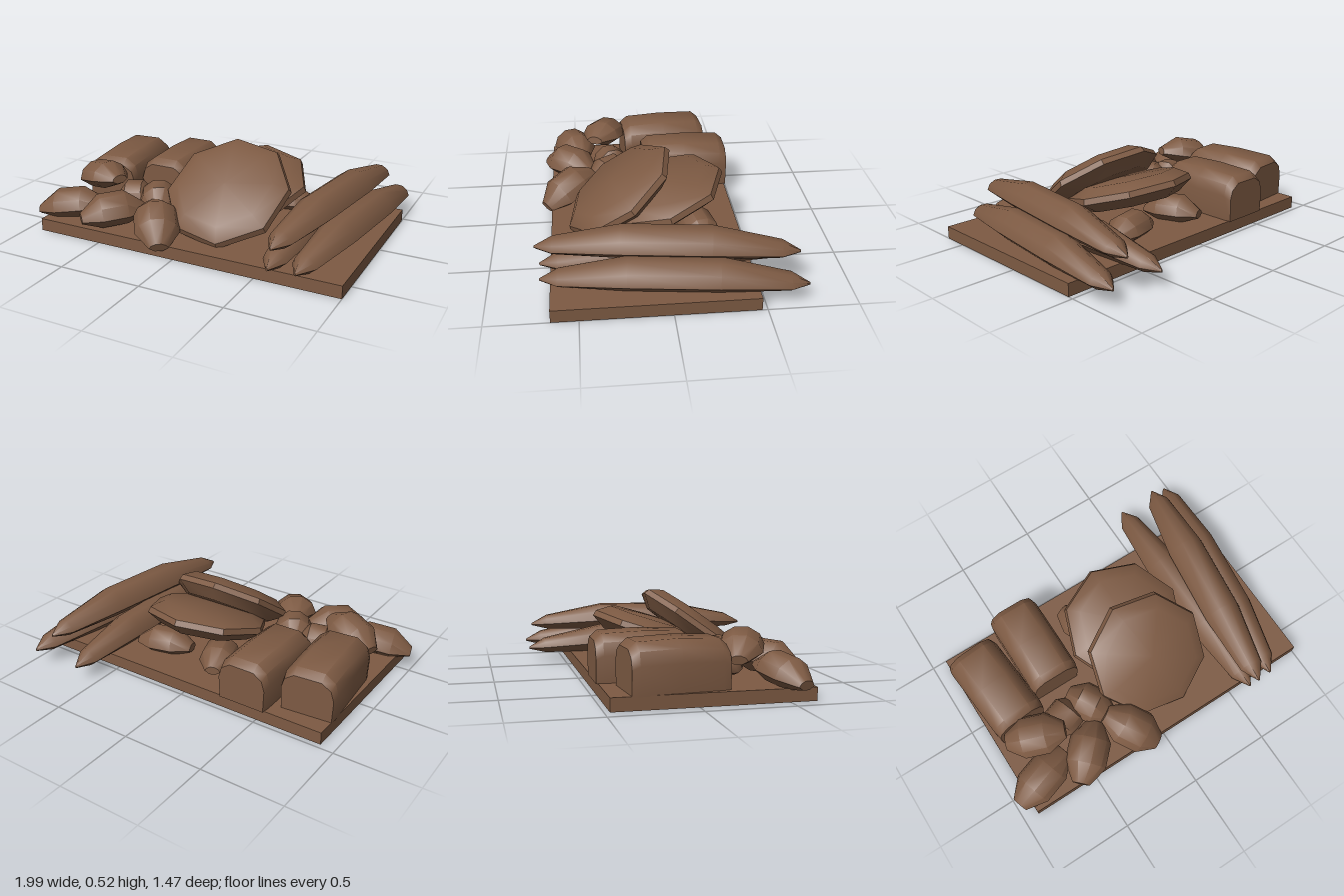
import * as THREE from 'three';
import { toCreasedNormals } from 'three/addons/utils/BufferGeometryUtils.js';

const crust = new THREE.MeshStandardMaterial({ color: 0x7d5a43, side: THREE.DoubleSide });
crust.name = 'brown crust';

// Cross-sections, unit wide and unit high, counter-clockwise seen from +z
const bunSection = [[-0.2, -0.5], [0.2, -0.5], [0.5, -0.12], [0.4, 0.25], [0.15, 0.5], [-0.15, 0.5], [-0.4, 0.25], [-0.5, -0.12]];
const loafSection = [[-0.48, -0.5], [0.48, -0.5], [0.5, 0.08], [0.44, 0.34], [0.26, 0.5], [-0.26, 0.5], [-0.44, 0.34], [-0.5, 0.08]];

// Stations along a unit length: [z, width, height, lift]
const batonStations = [[-0.5, 0.05, 0.08, -0.3], [-0.43, 0.62, 0.52, -0.2], [-0.17, 1, 1, 0], [0.17, 1, 1, 0], [0.43, 0.62, 0.52, -0.2], [0.5, 0.05, 0.08, -0.3]];
const rollStations = [[-0.5, 0.42, 0.3, -0.15], [-0.2, 1, 0.96, 0], [0.2, 1, 0.96, 0], [0.5, 0.42, 0.3, -0.15]];
const loafStations = [[-0.5, 0.95, 0.84, -0.08], [-0.42, 1, 0.97, -0.015], [0, 1, 1, 0], [0.42, 1, 0.97, -0.015], [0.5, 0.95, 0.84, -0.08]];

// Skin a section over the stations and close both ends
function loft(section, stations, width, height, length) {
  const pos = [], index = [], n = section.length, last = stations.length - 1;
  for (const [z, sx, sy, lift] of stations)
    for (const [x, y] of section) pos.push(x * sx * width, (y * sy + lift) * height, z * length);
  for (let i = 0; i < last; i++)
    for (let j = 0; j < n; j++) {
      const k = (j + 1) % n;
      const a = i * n + j, b = i * n + k, c = b + n, d = a + n;
      index.push(a, b, c, a, c, d);
    }
  for (let j = 1; j < n - 1; j++) {
    index.push(0, j + 1, j);
    index.push(last * n, last * n + j, last * n + j + 1);
  }
  const geo = new THREE.BufferGeometry();
  geo.setAttribute('position', new THREE.Float32BufferAttribute(pos, 3));
  geo.setIndex(index);
  return toCreasedNormals(geo, 0.75);
}

// A bread lying from one end point to the other
function bread(name, section, stations, width, height, from, to) {
  const a = new THREE.Vector3(...from), b = new THREE.Vector3(...to);
  const mesh = new THREE.Mesh(loft(section, stations, width, height, a.distanceTo(b)), crust);
  mesh.position.copy(a).lerp(b, 0.5);
  mesh.lookAt(b);
  mesh.name = name;
  return mesh;
}

// Tilted eight-sided round bread
function roundBread(name, x, y, z, tilt, turn) {
  const profile = [[0, -0.075], [0.29, -0.07], [0.38, -0.01], [0.37, 0.025], [0.29, 0.075], [0, 0.085]]
    .map(([r, h]) => new THREE.Vector2(r, h));
  const geo = new THREE.LatheGeometry(profile, 8);
  geo.rotateY(turn);
  const mesh = new THREE.Mesh(toCreasedNormals(geo, 0.6), crust);
  mesh.position.set(x, y, z);
  mesh.rotation.x = tilt;
  mesh.name = name;
  return mesh;
}

export function createModel() {
  const group = new THREE.Group();
  group.name = 'breadBoard';

  // Board, open underneath
  const boardGeo = new THREE.BoxGeometry(1.91, 0.075, 1.12);
  const faces = Array.from(boardGeo.index.array);
  faces.splice(18, 6);
  boardGeo.setIndex(faces);
  boardGeo.clearGroups();
  const board = new THREE.Mesh(boardGeo, crust);
  board.position.set(0.045, 0.0375, 0.09);
  board.name = 'board';
  group.add(board);

  // Two box loaves
  group.add(
    bread('leftLoaf', loafSection, loafStations, 0.33, 0.28, [-0.76, 0.21, -0.37], [-0.715, 0.21, 0.17]),
    bread('rightLoaf', loafSection, loafStations, 0.315, 0.275, [-0.405, 0.21, -0.48], [-0.405, 0.21, 0.06])
  );

  // Round breads leaning on each other
  group.add(
    roundBread('frontRoundBread', 0.142, 0.29, 0.235, 0.63, 0.2),
    roundBread('backRoundBread', 0.142, 0.265, -0.02, 0.3, 0.05)
  );

  // Long pointed breads: two on the board, one on top
  const batons = [
    [0.22, 0.175, [0.6, 0.155, -0.74], [0.605, 0.155, 0.71]],
    [0.23, 0.175, [0.935, 0.16, -0.735], [0.76, 0.16, 0.705]],
    [0.23, 0.17, [0.81, 0.285, -0.705], [0.63, 0.285, 0.73]]
  ];
  for (const [w, h, a, b] of batons) group.add(bread('longBread', bunSection, batonStations, w, h, a, b));

  // Small rolls heaped at the front, and two behind
  const rolls = [
    [0.25, 0.16, [-0.86, 0.25, 0.22], [-0.53, 0.32, 0.36]],
    [0.22, 0.18, [-0.6, 0.16, 0.3], [-0.36, 0.18, 0.22]],
    [0.23, 0.17, [-0.38, 0.2, 0.15], [-0.23, 0.19, 0.4]],
    [0.24, 0.17, [-0.98, 0.125, 0.56], [-0.59, 0.185, 0.44]],
    [0.25, 0.19, [-0.61, 0.165, 0.66], [-0.34, 0.19, 0.39]],
    [0.26, 0.18, [-0.26, 0.23, 0.4], [-0.06, 0.1, 0.69]],
    [0.22, 0.16, [0.5, 0.13, -0.25], [0.15, 0.14, -0.18]],
    [0.22, 0.16, [-0.12, 0.15, -0.35], [0.0, 0.14, -0.02]]
  ];
  for (const [w, h, a, b] of rolls) group.add(bread('roll', bunSection, rollStations, w, h, a, b));

  return group;
}
